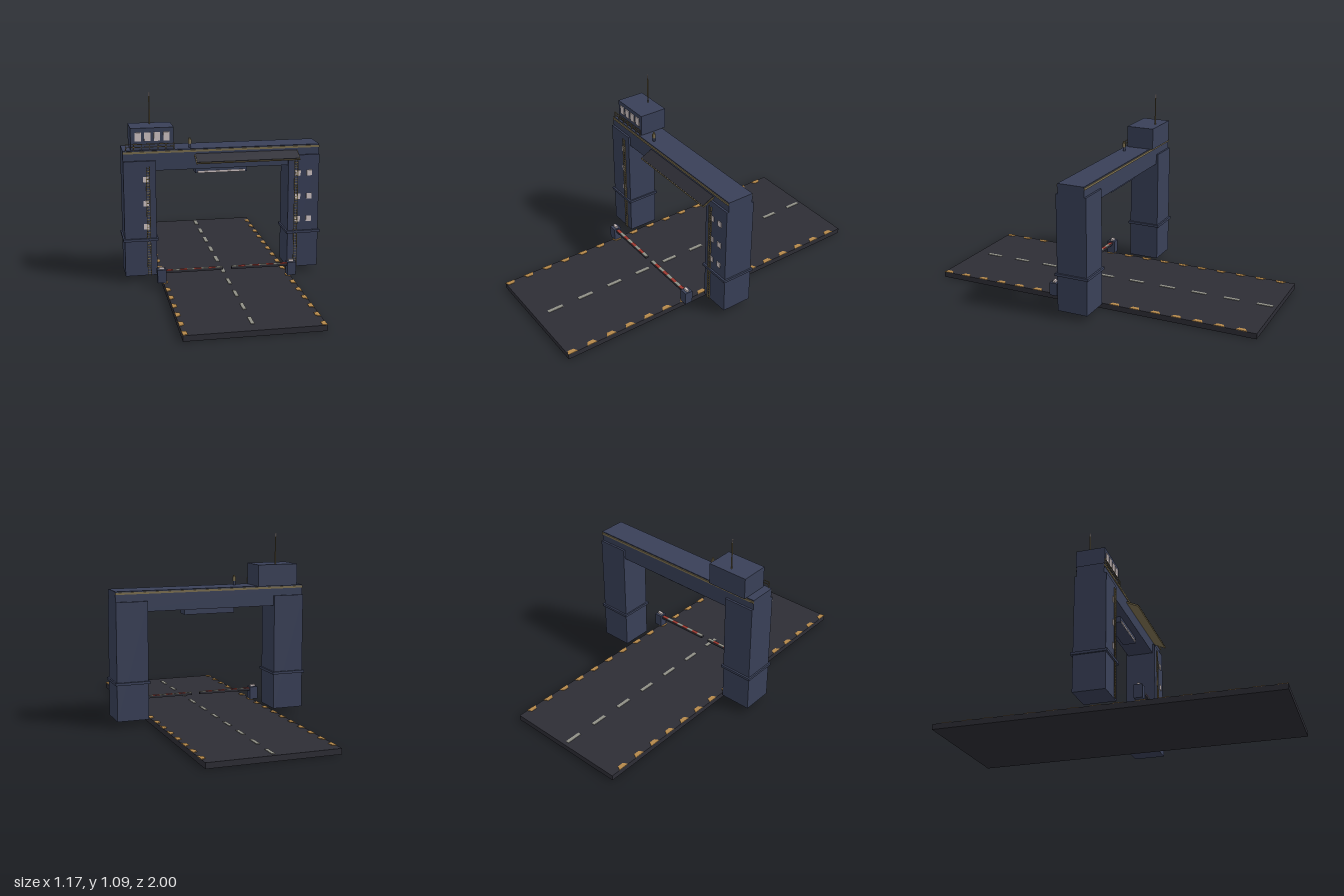
import * as THREE from 'three';

const mat = (name, color) => {
  const m = new THREE.MeshStandardMaterial({ color });
  m.name = name;
  return m;
};

export function createModel() {
  const navy = mat('navy steel', 0x394058);
  const asphalt = mat('asphalt', 0x2d2d35);
  const brass = mat('brass trim', 0x7d7050);
  const hazard = mat('hazard amber', 0xb5884a);
  const paint = mat('road paint grey', 0x8f8f86);
  const red = mat('barrier red', 0x9c3a32);
  const glass = mat('pale glass', 0xd2c6c6);

  const root = new THREE.Group();
  root.name = 'gatewayArch';

  // box given by its min/max limits on each axis
  const box = (name, m, [x0, x1], [y0, y1], [z0, z1], parent = root) => {
    const mesh = new THREE.Mesh(new THREE.BoxGeometry(x1 - x0, y1 - y0, z1 - z0), m);
    mesh.position.set((x0 + x1) / 2, (y0 + y1) / 2, (z0 + z1) / 2);
    mesh.name = name;
    parent.add(mesh);
    return mesh;
  };
  const rod = (name, m, x, z, y0, y1, r, parent = root) => {
    const mesh = new THREE.Mesh(new THREE.CylinderGeometry(r, r, y1 - y0, 10), m);
    mesh.position.set(x, (y0 + y1) / 2, z);
    mesh.name = name;
    parent.add(mesh);
  };
  const span = (c, half) => [c - half, c + half];
  const group = (name) => {
    const g = new THREE.Group();
    g.name = name;
    root.add(g);
    return g;
  };

  // Road with centre dashes
  const road = group('road');
  const top = 0.032;
  box('roadSlab', asphalt, [-0.374, 0.374], [0, top], [-1, 1], road);
  for (let i = 0; i < 10; i++) {
    box('centreDash', paint, span(0, 0.01), [top, top + 0.003], span(-0.93 + i * 0.2, 0.047), road);
  }

  // Tapered amber marks along both road edges
  for (const s of [-1, 1]) {
    for (let i = 0; i < 16; i++) {
      const z = -0.912 + i * 0.1257;
      const end = Math.min(z + 0.032, 1);
      const shape = new THREE.Shape([
        new THREE.Vector2(s * 0.374, -(z - 0.032)),
        new THREE.Vector2(s * 0.374, -end),
        new THREE.Vector2(s * 0.348, -(z + 0.018)),
        new THREE.Vector2(s * 0.348, -(z - 0.018)),
      ]);
      const geo = new THREE.ExtrudeGeometry(shape, { depth: 0.003, bevelEnabled: false });
      geo.rotateX(-Math.PI / 2);
      const mark = new THREE.Mesh(geo, hazard);
      mark.position.y = top;
      mark.name = 'edgeMark';
      road.add(mark);
    }
  }

  // Towers with collar, windows and ladder
  for (const s of [-1, 1]) {
    const tower = group(s > 0 ? 'leftTower' : 'rightTower');
    const cx = s * 0.484;
    box('towerShaft', navy, span(cx, 0.093), [0.035, 0.72], span(0, 0.092), tower);
    box('towerCollar', navy, span(cx, 0.102), [0.246, 0.261], span(0, 0.103), tower);
    for (const x of s > 0 ? [0.449, 0.517] : [-0.449]) {
      for (const y of [0.332, 0.471, 0.612]) {
        box('towerWindow', glass, span(x, 0.0155), span(y, 0.0165), [0.091, 0.096], tower);
      }
    }
    const lx = s * 0.437;
    for (const side of [-1, 1]) {
      box('ladderRail', brass, span(lx + side * 0.0095, 0.0018), [0.035, 0.688], [0.096, 0.101], tower);
    }
    for (let i = 0; i < 41; i++) {
      box('ladderRung', brass, span(lx, 0.0095), span(0.045 + i * 0.0158, 0.0018), [0.097, 0.1], tower);
    }
  }

  // Crossbeam with brass strips and hanging light box
  const beam = group('crossbeam');
  box('beamBody', navy, [-0.577, 0.577], [0.66, 0.78], [-0.08, 0.08], beam);
  for (const s of [-1, 1]) {
    box('beamStrip', brass, [-0.577, 0.577], [0.762, 0.774], span(s * 0.082, 0.003), beam);
  }
  box('lightBox', navy, [-0.154, 0.154], [0.625, 0.66], [-0.04, 0.04], beam);
  box('lightStrip', glass, [-0.14, 0.14], [0.626, 0.637], [0.039, 0.044], beam);

  // Sloping canopy on the front of the beam
  const canopy = group('canopy');
  canopy.position.set(0.14, 0.727, 0.114);
  canopy.rotation.x = 0.46;
  box('canopyFrame', brass, span(0, 0.305), [-0.005, 0.002], span(0, 0.043), canopy);
  box('canopyPanel', asphalt, span(0, 0.3), [0.002, 0.006], span(0, 0.039), canopy);

  // Control cabin, aerial and front railing
  const cabin = group('controlCabin');
  box('cabinBody', navy, [-0.53, -0.282], [0.78, 0.907], [-0.102, 0.067], cabin);
  for (let i = 0; i < 4; i++) {
    box('cabinWindow', glass, span(-0.488 + i * 0.0547, 0.018), [0.832, 0.882], [0.066, 0.072], cabin);
  }
  rod('aerialMast', brass, -0.406, -0.064, 0.905, 1.07, 0.004, cabin);
  rod('aerialTip', glass, -0.406, -0.064, 1.07, 1.09, 0.004, cabin);
  for (let i = 0; i < 7; i++) {
    box('railPost', brass, span(-0.56 + i * 0.0463, 0.002), [0.78, 0.817], span(0.078, 0.002), cabin);
  }
  for (const y of [0.799, 0.816]) {
    box('handRail', brass, [-0.562, -0.28], span(y, 0.002), span(0.078, 0.002), cabin);
  }

  // Signal horn on the beam
  const horn = group('signalHorn');
  rod('hornBase', navy, -0.187, 0.044, 0.78, 0.803, 0.008, horn);
  rod('hornBody', brass, -0.187, 0.044, 0.803, 0.828, 0.01, horn);
  rod('hornCap', brass, -0.187, 0.044, 0.828, 0.838, 0.006, horn);

  // Road barrier: posts, lamps and striped arms
  for (const s of [-1, 1]) {
    const barrier = group(s > 0 ? 'leftBarrier' : 'rightBarrier');
    const z = 0.216;
    box('barrierPost', navy, span(s * 0.382, 0.025), [0.035, 0.112], span(z, 0.024), barrier);
    box('barrierLamp', glass, span(s * 0.382, 0.015), [0.112, 0.124], span(z, 0.008), barrier);
    box('barrierArm', asphalt, span(s * 0.192, 0.166), [0.088, 0.101], span(z, 0.01), barrier);
    for (let i = 0; i < 8; i++) {
      box('armStripe', i % 2 ? paint : red, span(s * (0.337 - i * 0.0414), 0.0207), [0.101, 0.104], span(z, 0.01), barrier);
    }
  }

  return root;
}
